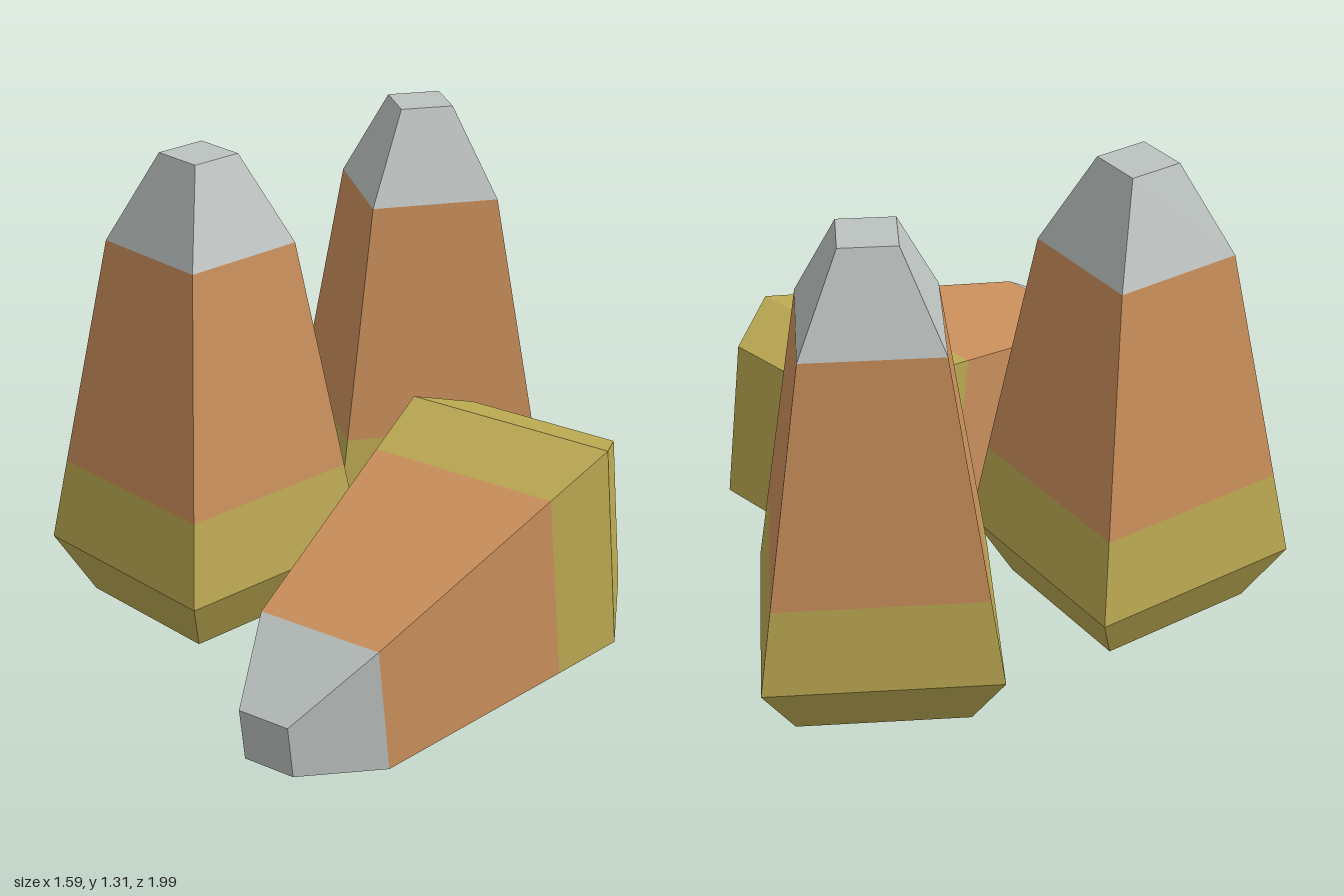
import * as THREE from 'three';

const material = (name, color) => {
  const m = new THREE.MeshStandardMaterial({ color, flatShading: true });
  m.name = name;
  return m;
};

// Each colour band is a four-sided turned profile of [corner radius, height]
const BANDS = [
  { name: 'yellowBase', points: [[0, 0], [0.32, 0], [0.435, 0.165], [0.388, 0.4]] },
  { name: 'orangeMiddle', points: [[0.388, 0.4], [0.255, 1.057]] },
  { name: 'whiteTip', points: [[0.255, 1.057], [0.105, 1.306], [0, 1.306]] },
];

export function createModel() {
  const model = new THREE.Group();
  model.name = 'candyPieces';

  const materials = [
    material('candy yellow', 0xbca952),
    material('candy orange', 0xcb905c),
    material('candy white', 0xbcc2bf),
  ];
  const geometries = BANDS.map(({ points }) =>
    new THREE.LatheGeometry(points.map(([r, y]) => new THREE.Vector2(r, y)), 4));

  // One candy: three stacked bands, spun about its own axis
  const addCandy = (name, spin) => {
    const candy = new THREE.Group();
    candy.name = name;
    BANDS.forEach((band, i) => {
      const mesh = new THREE.Mesh(geometries[i], materials[i]);
      mesh.name = band.name;
      mesh.rotation.y = spin;
      candy.add(mesh);
    });
    model.add(candy);
    return candy;
  };

  // Two standing candies
  addCandy('standingCandyRight', 0).position.set(-0.36, 0, -0.13);
  addCandy('standingCandyLeft', Math.PI / 3).position.set(0.227, 0, -0.625);

  // Fallen candy resting on one sloping side
  const fallen = addCandy('fallenCandy', Math.PI / 4);
  const slope = Math.atan((0.435 - 0.255) * Math.SQRT1_2 / (1.057 - 0.165));
  fallen.rotation.set(Math.PI / 2 + slope, THREE.MathUtils.degToRad(-34), 0, 'YXZ');
  fallen.position.set(0.591, 0.328, -0.132);

  return model;
}
